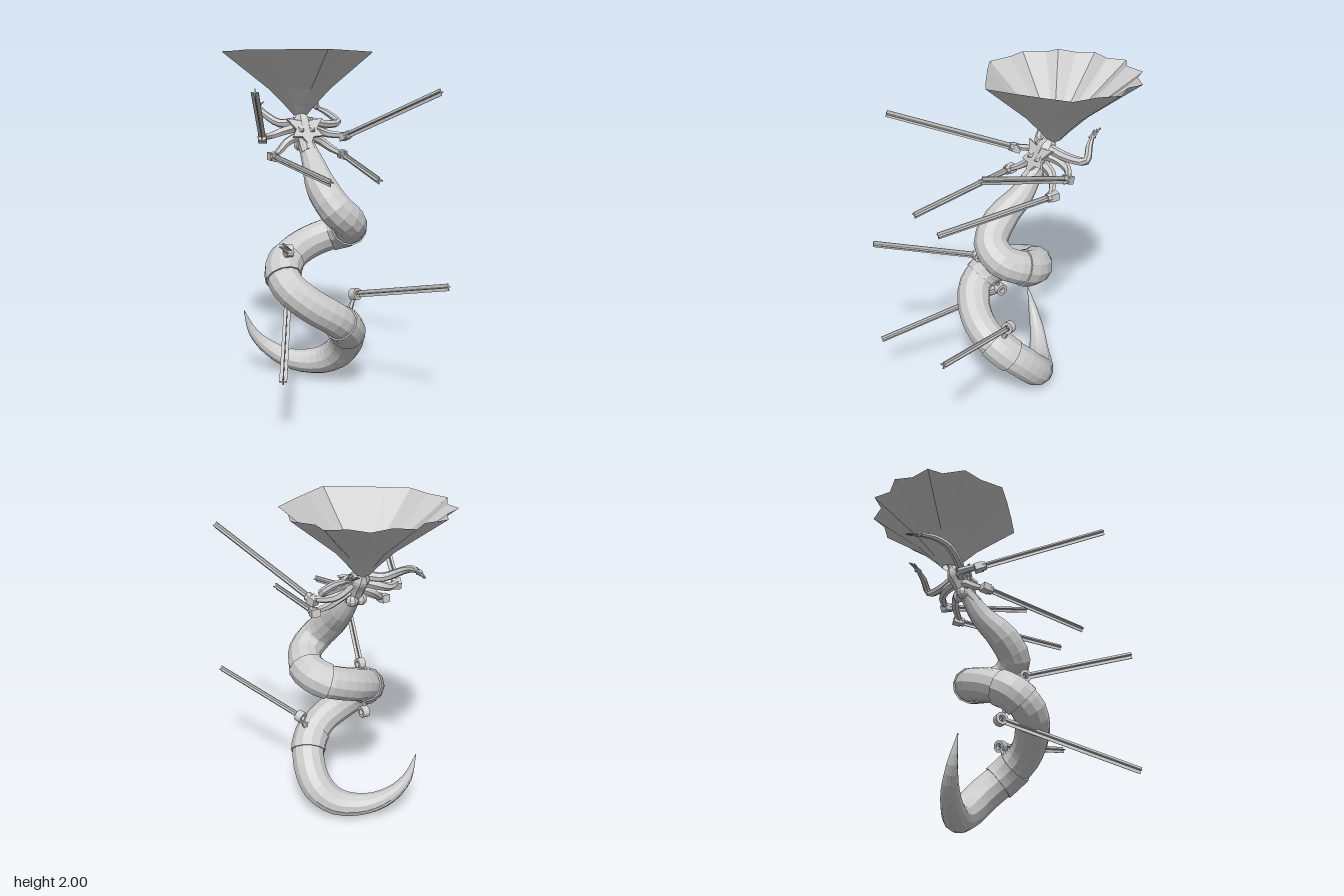
import * as THREE from 'three';

const V = (a) => new THREE.Vector3(...a);

export function createModel() {
  const root = new THREE.Group();
  const stone = new THREE.MeshStandardMaterial({ color: 0xcccccc, flatShading: true, side: THREE.DoubleSide });
  stone.name = 'pale grey';

  const add = (name, geo, parent = root, pos = [0, 0, 0]) => {
    const m = new THREE.Mesh(geo, stone);
    m.name = name;
    m.position.set(...pos);
    parent.add(m);
    return m;
  };

  // Grid of loops -> geometry
  const skin = (loops) => {
    const pos = [], idx = [], n = loops[0].length;
    loops.forEach((l) => l.forEach((p) => pos.push(p.x, p.y, p.z)));
    for (let i = 0; i < loops.length - 1; i++) {
      for (let j = 0; j < n; j++) {
        const a = i * n + j, b = i * n + (j + 1) % n;
        idx.push(a, b, a + n, b, b + n, a + n);
      }
    }
    const g = new THREE.BufferGeometry();
    g.setAttribute('position', new THREE.Float32BufferAttribute(pos, 3));
    g.setIndex(idx);
    g.computeVertexNormals();
    return g;
  };

  // Tapered tube; each point is [x, y, z, radius], t0..t1 picks a stretch of it
  const loft = (pts, sides, segs, t0 = 0, t1 = 1, extra = 0) => {
    const curve = new THREE.CatmullRomCurve3(pts.map((p) => V(p.slice(0, 3))));
    const loops = [];
    let n = new THREE.Vector3(0.3, 0.2, 1);
    for (let i = 0; i <= segs; i++) {
      const t = t0 + (t1 - t0) * i / segs;
      const k = Math.min(Math.floor(t * (pts.length - 1)), pts.length - 2);
      const f = t * (pts.length - 1) - k;
      const r = pts[k][3] * (1 - f) + pts[k + 1][3] * f + extra;
      const c = curve.getPoint(t), d = curve.getTangent(t);
      n = n.clone().addScaledVector(d, -n.dot(d)).normalize();
      const b = d.clone().cross(n);
      const ring = (rad) => Array.from({ length: sides }, (_, j) => {
        const a = j / sides * Math.PI * 2;
        return c.clone().addScaledVector(n, Math.cos(a) * rad).addScaledVector(b, Math.sin(a) * rad);
      });
      if (i === 0) loops.push(ring(0.0005));
      loops.push(ring(r));
      if (i === segs) loops.push(ring(0.0005));
    }
    return skin(loops);
  };

  // Coiled serpent body, waist to tail tip
  const body = [
    [0, 1.44, -0.13, 0.05], [0.01, 1.33, -0.04, 0.07], [0.005, 1.21, 0.1, 0.094],
    [0.05, 1.1, 0.195, 0.1], [0.14, 1.02, 0.18, 0.1], [0.19, 0.96, 0.06, 0.1],
    [0.14, 0.92, -0.05, 0.1], [0, 0.87, -0.075, 0.1], [-0.14, 0.81, -0.025, 0.1],
    [-0.225, 0.74, 0.06, 0.1], [-0.225, 0.66, 0.15, 0.1], [-0.12, 0.56, 0.22, 0.1],
    [0.02, 0.47, 0.232, 0.1], [0.13, 0.38, 0.17, 0.1], [0.185, 0.28, 0.065, 0.102],
    [0.178, 0.17, -0.04, 0.1], [0.095, 0.092, -0.135, 0.085], [-0.06, 0.085, -0.23, 0.066],
    [-0.19, 0.152, -0.3, 0.05], [-0.29, 0.26, -0.33, 0.03], [-0.35, 0.41, -0.325, 0.002],
  ];
  add('serpentBody', loft(body, 12, 60));
  [[4.9, 6.2], [8.3, 9.5], [12.5, 13.4]].forEach(([a, b]) => add('bodyCollar', loft(body, 12, 4, a / 20, b / 20, 0.009)));

  // Torso, hips, neck and head
  add('torso', loft([[0, 1.4, -0.09, 0.054], [0, 1.46, -0.15, 0.05], [0, 1.53, -0.185, 0.055],
    [0, 1.585, -0.22, 0.06], [0, 1.62, -0.245, 0.03]], 8, 10));
  add('neck', loft([[0, 1.59, -0.225, 0.028], [0, 1.66, -0.26, 0.024]], 8, 2));
  add('head', new THREE.SphereGeometry(0.04, 10, 8), root, [0.005, 1.68, -0.26]).scale.set(0.9, 1.15, 1);
  for (const s of [-1, 1]) {
    add('hip', new THREE.SphereGeometry(0.036, 8, 6), root, [s * 0.028, 1.445, -0.185]);
    const bust = add('bust', new THREE.ConeGeometry(0.038, 0.05, 5), root, [s * 0.035, 1.535, -0.13]);
    bust.rotation.x = Math.PI / 2;
  }

  // Pointed chest plate
  const star = new THREE.Shape([[-0.115, 0.08], [-0.03, 0.065], [0, 0.075], [0.03, 0.065], [0.115, 0.08], [0.065, 0.01],
    [0.095, -0.04], [0.035, -0.045], [0, -0.11], [-0.035, -0.045], [-0.095, -0.04], [-0.065, 0.01]]
    .map((p) => new THREE.Vector2(...p)));
  const plate = add('chestPlate', new THREE.ExtrudeGeometry(star, { depth: 0.015, bevelEnabled: false }), root, [0, 1.53, -0.143]);
  plate.rotation.x = -0.55;

  // Flared, scalloped hood: half of the rim outline, then mirrored
  const half = [[0, -0.76], [0.09, -0.69], [0.22, -0.7], [0.28, -0.61], [0.39, -0.555], [0.385, -0.46],
    [0.465, -0.35], [0.42, -0.23], [0.405, -0.085], [0.29, 0], [0.14, 0.1], [0, 0.187]];
  const rim = [...half, ...half.slice(1, -1).reverse().map(([x, z]) => [-x, z])];
  const hoodRing = (y, k, smooth) => rim.map(([x, z]) => {
    const l = Math.hypot(x, z + 0.26), r = (l * (1 - smooth) + 0.46 * smooth) * k;
    return new THREE.Vector3(x / l * r, y, -0.26 + (z + 0.26) / l * r);
  });
  add('hood', skin([hoodRing(1.62, 0.085, 0.8), hoodRing(1.68, 0.2, 0.5), hoodRing(1.78, 0.41, 0.25), hoodRing(2, 1, 0)]), root, [0.005, 0, 0]);

  // Rod with a plus-shaped section running from a to b
  const rod = (name, a, b) => {
    const g = new THREE.Group();
    g.name = name;
    const A = V(a), B = V(b), len = A.distanceTo(B);
    g.position.copy(A);
    g.lookAt(B);
    for (const turn of [0, Math.PI / 2]) {
      add('rodBlade', new THREE.BoxGeometry(0.04, 0.005, len), g, [0, 0, len / 2]).rotation.z = turn;
    }
    root.add(g);
    return g;
  };

  // Rods carried on the coils by hollow bearings with a short stem
  const bearing = new THREE.LatheGeometry([[0.019, -0.022], [0.037, -0.022], [0.037, 0.022], [0.019, 0.022], [0.019, -0.022]]
    .map((p) => new THREE.Vector2(...p)), 12);
  [[[-0.215, 0.865, 0.13], [-0.45, 1.01, 0.71], [-0.22, 0.77, 0.09], true],
    [[0.19, 0.58, 0.165], [0.475, 0.73, 0.75], [0.13, 0.45, 0.18], false],
    [[-0.17, 0.6, 0], [-0.455, 0.31, 0.71], [-0.2, 0.72, 0.05], true]].forEach(([a, b, base, sideways]) => {
    const dir = V(b).sub(V(a)).normalize();
    const start = V(a).addScaledVector(dir, 0.03).toArray();
    rod('mountedRod', start, b);
    const ring = add('mountBearing', bearing, root, a);
    ring.quaternion.setFromUnitVectors(V([0, 1, 0]), sideways ? V([1, 0, 0]) : dir);
    add('mountPin', new THREE.SphereGeometry(0.012, 8, 6), root, a);
    const top = V(a).lerp(V(base), 0.034 / V(a).distanceTo(V(base))).toArray();
    add('mountStem', loft([[...top, 0.012], [...base, 0.024]], 6, 1));
  });

  // Four lower arms, each gripping a rod
  for (const s of [-1, 1]) {
    const arms = [
      [[[0.03, 1.555, -0.19, 0.032], [0.12, 1.525, -0.235, 0.027], [0.18, 1.505, -0.235, 0.023], [0.265, 1.497, -0.18, 0.018]],
        [0.27, 1.495, -0.165], [0.53, 1.765, 0.525]],
      [[[0.03, 1.505, -0.17, 0.03], [0.11, 1.465, -0.175, 0.026], [0.16, 1.425, -0.15, 0.022], [0.215, 1.39, -0.1, 0.016]],
        [0.222, 1.386, -0.1], [0.14, 1.3, 0.575]],
    ];
    arms.forEach(([pts, a, b]) => {
      add('rodArm', loft(pts.map(([x, ...r]) => [s * x, ...r]), 6, 9));
      const g = rod('heldRod', [s * a[0], a[1], a[2]], [s * b[0], b[1], b[2]]);
      add('gripCollar', new THREE.CylinderGeometry(0.027, 0.027, 0.025, 8), g, [0, 0, 0.015]).rotation.x = Math.PI / 2;
      add('fist', new THREE.BoxGeometry(0.05, 0.044, 0.05), g, [0, 0, -0.015]);
    });
  }

  // Upper arms raised behind with open fingers
  [['leftRaisedArm', [[0.05, 1.585, -0.21, 0.029], [0.17, 1.565, -0.25, 0.027], [0.27, 1.575, -0.295, 0.023], [0.22, 1.63, -0.35, 0.02], [0.175, 1.66, -0.405, 0.012]], [0.162, 1.695, -0.47]],
    ['rightRaisedArm', [[-0.05, 1.585, -0.21, 0.029], [-0.13, 1.575, -0.25, 0.026], [-0.2, 1.63, -0.34, 0.022], [-0.205, 1.665, -0.43, 0.018], [-0.18, 1.68, -0.52, 0.012]], [-0.155, 1.68, -0.6]]].forEach(([name, pts, tip]) => {
    add(name, loft(pts, 7, 12));
    const w = pts[4];
    add('palm', new THREE.SphereGeometry(0.02, 6, 5), root, w.slice(0, 3)).scale.set(1, 0.7, 1.2);
    for (let i = -2; i <= 2; i++) {
      const end = [tip[0] + i * 0.014, tip[1] + i * 0.008, tip[2] + Math.abs(i) * 0.012];
      add('finger', loft([[w[0] + i * 0.006, w[1], w[2], 0.007], [...end, 0.004]], 5, 1));
    }
  });

  return root;
}
